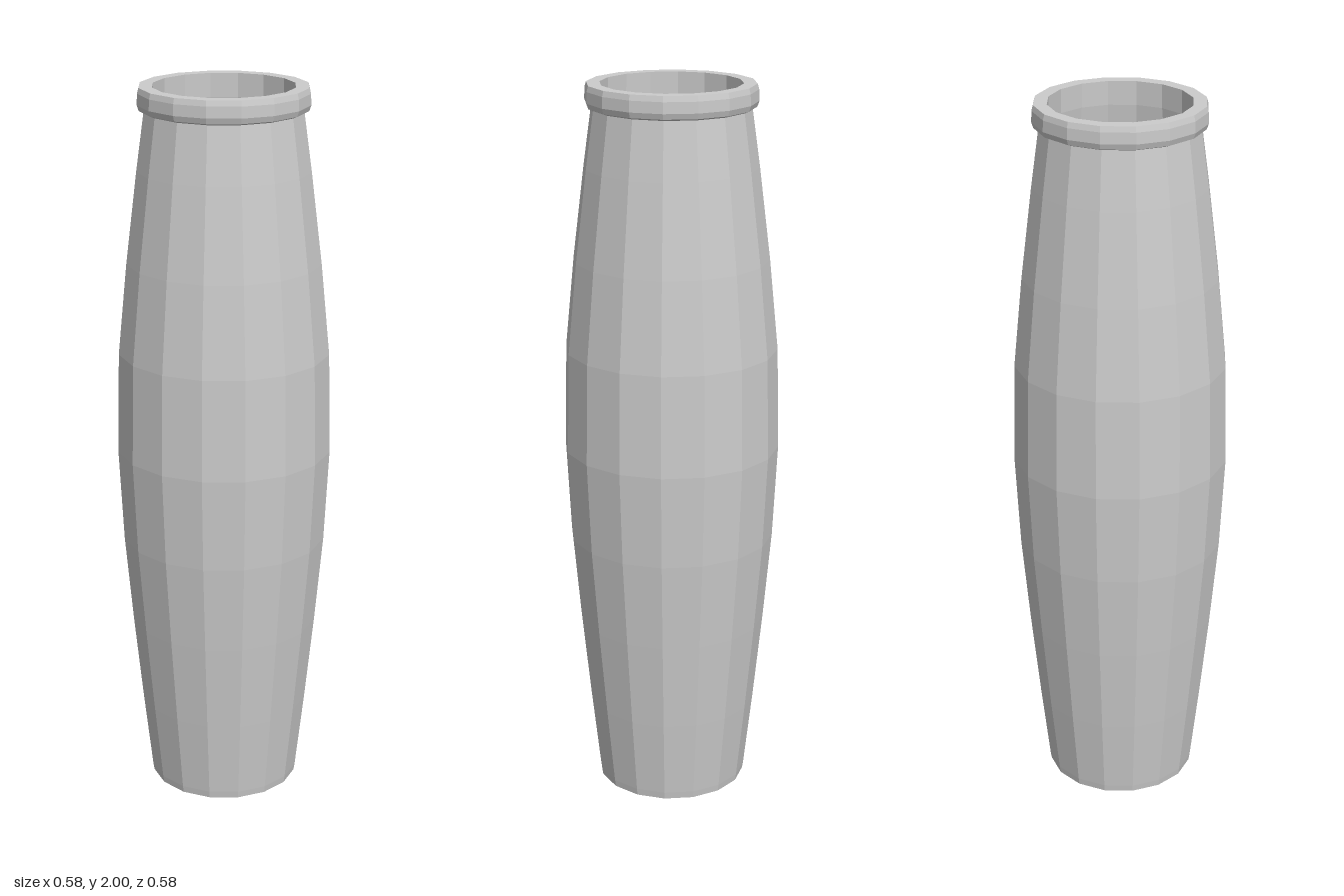
import * as THREE from 'three';

const SIDES = 16;
const SCALE = 1 / Math.cos(Math.PI / SIDES); // flat-to-flat radius -> corner radius

// Turns a [radius, height] profile, with a flat side facing the front
function turned(name, profile) {
  const points = profile.map(([r, y]) => new THREE.Vector2(r * SCALE, y));
  const geometry = new THREE.LatheGeometry(points, SIDES, Math.PI / SIDES);
  const material = new THREE.MeshStandardMaterial({ color: 0xcccccc, flatShading: true });
  const mesh = new THREE.Mesh(geometry, material);
  mesh.name = name;
  return mesh;
}

export function createModel() {
  const group = new THREE.Group();
  group.name = 'vase';

  // Barrel-shaped outside with a closed base
  group.add(turned('body', [
    [0, 0], [0.204, 0], [0.207, 0.02], [0.231, 0.24], [0.256, 0.49], [0.278, 0.74],
    [0.291, 1.0], [0.285, 1.28], [0.261, 1.53], [0.231, 1.78], [0.21, 1.935],
  ]));

  // Rolled lip around the mouth
  group.add(turned('lip', [
    [0.21, 1.935], [0.222, 1.94], [0.227, 1.955], [0.226, 1.985], [0.222, 2.0], [0.187, 2.0],
  ]));

  // Hollow inside, following the body down to the floor
  group.add(turned('interior', [
    [0.187, 2.0], [0.188, 1.935], [0.207, 1.78], [0.235, 1.53], [0.258, 1.28],
    [0.264, 1.0], [0.251, 0.74], [0.229, 0.49], [0.204, 0.24], [0.16, 0.05], [0, 0.05],
  ]));

  return group;
}
